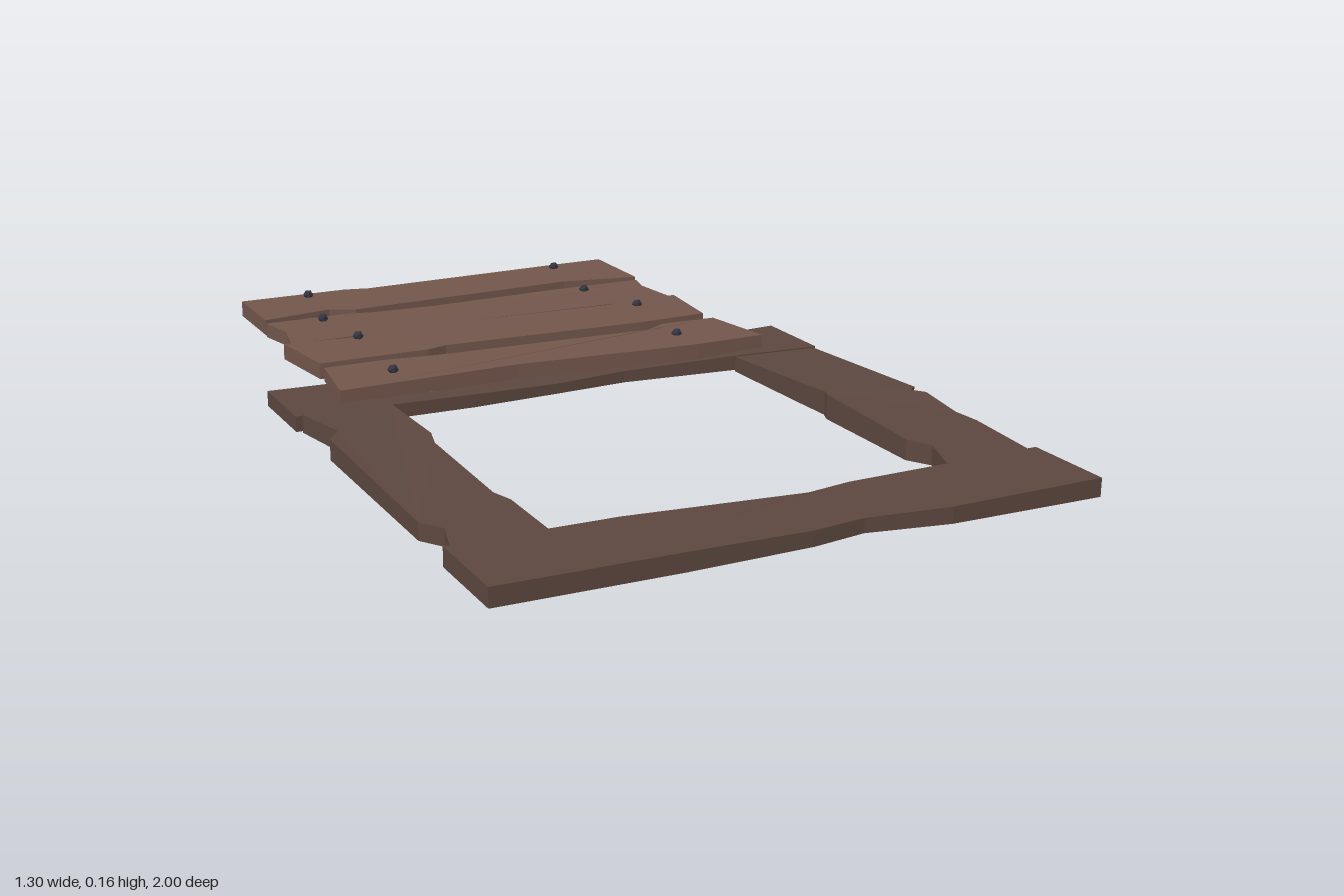
import * as THREE from 'three';

const mat = (color) => new THREE.MeshStandardMaterial({ color, flatShading: true, side: THREE.DoubleSide });
const frameWood = mat(0x5c473f), plankWood = mat(0x72564b), iron = mat(0x33343f);

// Board from a top-down outline of [x, z] points, with a top height rule; open boards have no underside.
function board(name, outline, y0, top, material, open = false) {
  const shape = new THREE.Shape(outline.map(([x, z]) => new THREE.Vector2(x, -z)));
  let geo = new THREE.ExtrudeGeometry(shape, { depth: 1, bevelEnabled: false });
  geo.rotateX(-Math.PI / 2);
  if (geo.index) geo = geo.toNonIndexed();
  const p = geo.attributes.position, kept = [];
  for (let i = 0; i < p.count; i += 3) {
    const isUnderside = [0, 1, 2].every((k) => p.getY(i + k) < 0.5);
    if (open && isUnderside) continue;
    for (let k = i; k < i + 3; k++) {
      const x = p.getX(k), z = p.getZ(k);
      kept.push(x, p.getY(k) > 0.5 ? top(x, z) : y0, z);
    }
  }
  const out = new THREE.BufferGeometry();
  out.setAttribute('position', new THREE.Float32BufferAttribute(kept, 3));
  out.computeVertexNormals();
  const mesh = new THREE.Mesh(out, material);
  mesh.name = name;
  return mesh;
}

function add(group, name, geo, material, x, y, z) {
  const mesh = new THREE.Mesh(geo, material);
  mesh.name = name;
  mesh.position.set(x, y, z);
  group.add(mesh);
  return mesh;
}

function makeFrame() {
  const g = new THREE.Group();
  g.name = 'frame';
  g.add(board('frontBeam', [
    [-0.655, 0.79], [-0.3, 0.79], [0.1, 0.803], [0.2, 0.79], [0.65, 0.79],
    [0.65, 1], [0.3, 1], [0.12, 0.97], [0, 0.99], [-0.27, 1], [-0.655, 1],
  ], 0.07, (x) => 0.11 - 0.01 * Math.max(0, 1 - Math.abs(x - 0.1) / 0.4), frameWood, true));
  g.add(board('backBeam', [
    [-0.655, -0.278], [-0.3, -0.275], [0.2, -0.27], [0.5, -0.265], [0.65, -0.28],
    [0.65, -0.07], [0.43, -0.08], [0.15, -0.1], [-0.03, -0.085], [-0.24, -0.07], [-0.655, -0.07],
  ], 0.07, (x) => 0.105 - 0.012 * Math.max(0, 1 - Math.abs(x) / 0.4), frameWood, true));
  g.add(board('rightBeam', [
    [-0.64, -0.07], [-0.44, -0.07], [-0.44, 0.18], [-0.455, 0.24], [-0.455, 0.55], [-0.44, 0.6],
    [-0.44, 0.79], [-0.64, 0.79], [-0.612, 0.69], [-0.645, 0.64], [-0.645, 0.13], [-0.612, 0.08],
  ], 0.066, (x, z) => 0.103 + 0.01 * Math.max(0, 1 - Math.abs(z - 0.15) / 0.4), frameWood, true));
  g.add(board('leftBeam', [
    [0.435, -0.08], [0.645, -0.07], [0.64, 0.365], [0.618, 0.385], [0.64, 0.41], [0.628, 0.54],
    [0.64, 0.6], [0.64, 0.79], [0.435, 0.79], [0.465, 0.69], [0.435, 0.64], [0.435, 0.33],
    [0.447, 0.3], [0.443, 0.2],
  ], 0.066, (x, z) => 0.102 + 0.023 * Math.max(0, 1 - Math.abs(z - 0.39) / 0.42), frameWood, true));
  return g;
}

function makeHatch() {
  const g = new THREE.Group();
  g.name = 'hatch';
  // Four rough planks, front to back
  const planks = [
    [[[-0.51, -0.31], [-0.35, -0.31], [-0.25, -0.295], [0.3, -0.275], [0.36, -0.31], [0.5, -0.31],
      [0.53, -0.12], [0.35, -0.11], [0.28, -0.11], [-0.1, -0.14], [-0.535, -0.125]], 0.1, 0.137],
    [[[-0.54, -0.52], [-0.36, -0.5], [-0.29, -0.53], [0.3, -0.505], [0.37, -0.52], [0.505, -0.53],
      [0.485, -0.335], [0.3, -0.32], [-0.2, -0.34], [-0.25, -0.325], [-0.515, -0.325]], 0.102, 0.144],
    [[[-0.515, -0.745], [-0.31, -0.745], [-0.24, -0.73], [-0.08, -0.72], [0.25, -0.735], [0.505, -0.745],
      [0.49, -0.68], [0.505, -0.54], [0.3, -0.54], [-0.15, -0.55], [-0.24, -0.54], [-0.515, -0.54],
      [-0.495, -0.65]], 0.097, 0.136],
    [[[-0.515, -0.955], [-0.24, -0.955], [-0.18, -0.94], [0.22, -0.955], [0.35, -0.965], [0.505, -0.975],
      [0.505, -0.75], [0.31, -0.78], [-0.28, -0.75], [-0.34, -0.78], [-0.515, -0.75]], 0.1, 0.143],
  ];
  planks.forEach(([outline, y0, y1], i) =>
    g.add(board('plank' + (i + 1), outline, y0, (x) => y1 - 0.006 * Math.abs(x - 0.25), plankWood)));

  // Battens joining the planks underneath
  for (const [name, x] of [['rightBatten', -0.365], ['leftBatten', 0.355]])
    g.add(board(name, [
      [x - 0.055, -1], [x + 0.055, -0.98], [x + 0.055, -0.13], [x - 0.055, -0.13],
    ], 0.07, () => 0.1, plankWood));

  // Nails with heads on both faces
  const head = new THREE.IcosahedronGeometry(0.013, 0);
  const nails = [[-0.38, -0.21], [0.345, -0.21], [-0.365, -0.49], [0.372, -0.475],
    [-0.38, -0.71], [0.33, -0.7], [-0.348, -0.925], [0.35, -0.935]];
  nails.forEach(([x, z], i) => {
    add(g, 'nailTop', head, iron, x, planks[i >> 1][2] + 0.002, z);
    add(g, 'nailBottom', head, iron, x, 0.066, z).scale.set(1.3, 1, 1.3);
  });
  return g;
}

// Pull ring lying under the hatch, held by a pointed mount
function makeHandle() {
  const g = new THREE.Group();
  g.name = 'pullHandle';
  const ring = new THREE.TorusGeometry(0.145, 0.027, 6, 10);
  ring.rotateZ(Math.PI / 10).rotateX(Math.PI / 2).scale(1, 0.65, 1);
  add(g, 'ring', ring, iron, 0, 0.064, -0.71);
  const mount = new THREE.CylinderGeometry(0.05, 0.062, 0.06, 6);
  add(g, 'mount', mount, iron, 0, 0.07, -0.85);
  const spike = new THREE.ConeGeometry(0.062, 0.04, 6);
  spike.rotateX(Math.PI);
  add(g, 'spike', spike, iron, 0, 0.02, -0.85);
  return g;
}

export function createModel() {
  const model = new THREE.Group();
  model.name = 'openTrapdoor';
  model.add(makeFrame(), makeHatch(), makeHandle());
  return model;
}
